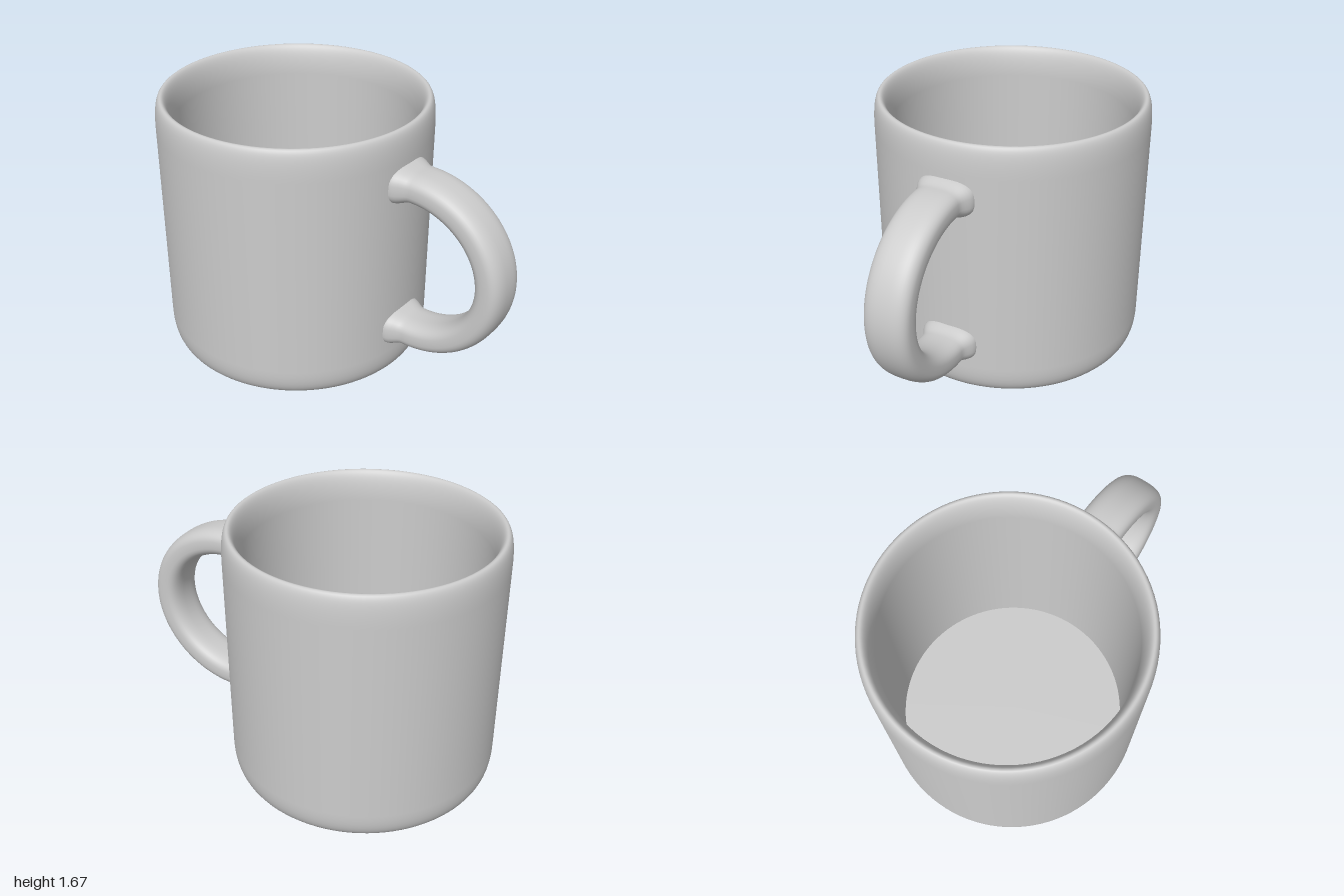
import * as THREE from 'three';

const material = new THREE.MeshStandardMaterial({ color: 0xcccccc });

// Turned body: rounded foot, straight wall, soft rim and inner wall
function makeBody() {
  const p = new THREE.Path();
  p.moveTo(0, 0);
  p.lineTo(0.7, 0);
  p.bezierCurveTo(0.8, 0, 0.84, 0.05, 0.84, 0.2);
  p.lineTo(0.84, 1.48);
  p.bezierCurveTo(0.84, 1.59, 0.83, 1.67, 0.8, 1.67);
  p.bezierCurveTo(0.77, 1.67, 0.745, 1.58, 0.745, 1.48);
  p.lineTo(0.742, 0.1);
  const mesh = new THREE.Mesh(new THREE.LatheGeometry(p.getPoints(12), 96), material);
  mesh.name = 'body';
  return mesh;
}

// Flat floor inside the cup
function makeFloor() {
  const mesh = new THREE.Mesh(new THREE.CircleGeometry(0.743, 96), material);
  mesh.rotation.x = -Math.PI / 2;
  mesh.position.y = 0.1;
  mesh.name = 'innerFloor';
  return mesh;
}

// Looped handle: a soft-cornered section swept along a half ellipse, flared at the wall
function makeHandle() {
  const path = new THREE.Path();
  path.moveTo(0.79, 1.34);
  path.lineTo(0.93, 1.34);
  path.absellipse(0.93, 0.85, 0.515, 0.49, Math.PI / 2, -Math.PI / 2, true);
  path.lineTo(0.79, 0.36);

  const steps = 120, sides = 40;
  const halfThick = 0.09, halfWide = 0.14, power = 2 / 2.8;
  const length = path.getLength();
  const soft = (v) => Math.sign(v) * Math.pow(Math.abs(v), power);
  const positions = [], index = [];

  for (let i = 0; i <= steps; i++) {
    const t = i / steps;
    const c = path.getPointAt(t), d = path.getTangentAt(t);
    const fromWall = Math.min(t, 1 - t) * length;
    const flare = 1 + 0.28 * (1 - THREE.MathUtils.smoothstep(fromWall, 0.03, 0.13));
    for (let j = 0; j < sides; j++) {
      const a = (j / sides) * Math.PI * 2;
      const n = soft(Math.cos(a)) * halfThick * flare;
      const w = soft(Math.sin(a)) * halfWide * flare;
      positions.push(c.x - d.y * n, c.y + d.x * n, w);
      if (i < steps) {
        const k = (j + 1) % sides, r0 = i * sides, r1 = r0 + sides;
        index.push(r0 + j, r0 + k, r1 + j, r0 + k, r1 + k, r1 + j);
      }
    }
  }

  const geometry = new THREE.BufferGeometry();
  geometry.setAttribute('position', new THREE.Float32BufferAttribute(positions, 3));
  geometry.setIndex(index);
  geometry.computeVertexNormals();
  const mesh = new THREE.Mesh(geometry, material);
  mesh.name = 'handle';
  mesh.position.set(-0.005, 0, 0.005);
  mesh.rotation.y = -Math.PI / 4;
  return mesh;
}

export function createModel() {
  const mug = new THREE.Group();
  mug.name = 'mug';
  mug.add(makeBody(), makeFloor(), makeHandle());
  mug.position.set(-0.16, 0, -0.16);

  const model = new THREE.Group();
  model.add(mug);
  return model;
}
